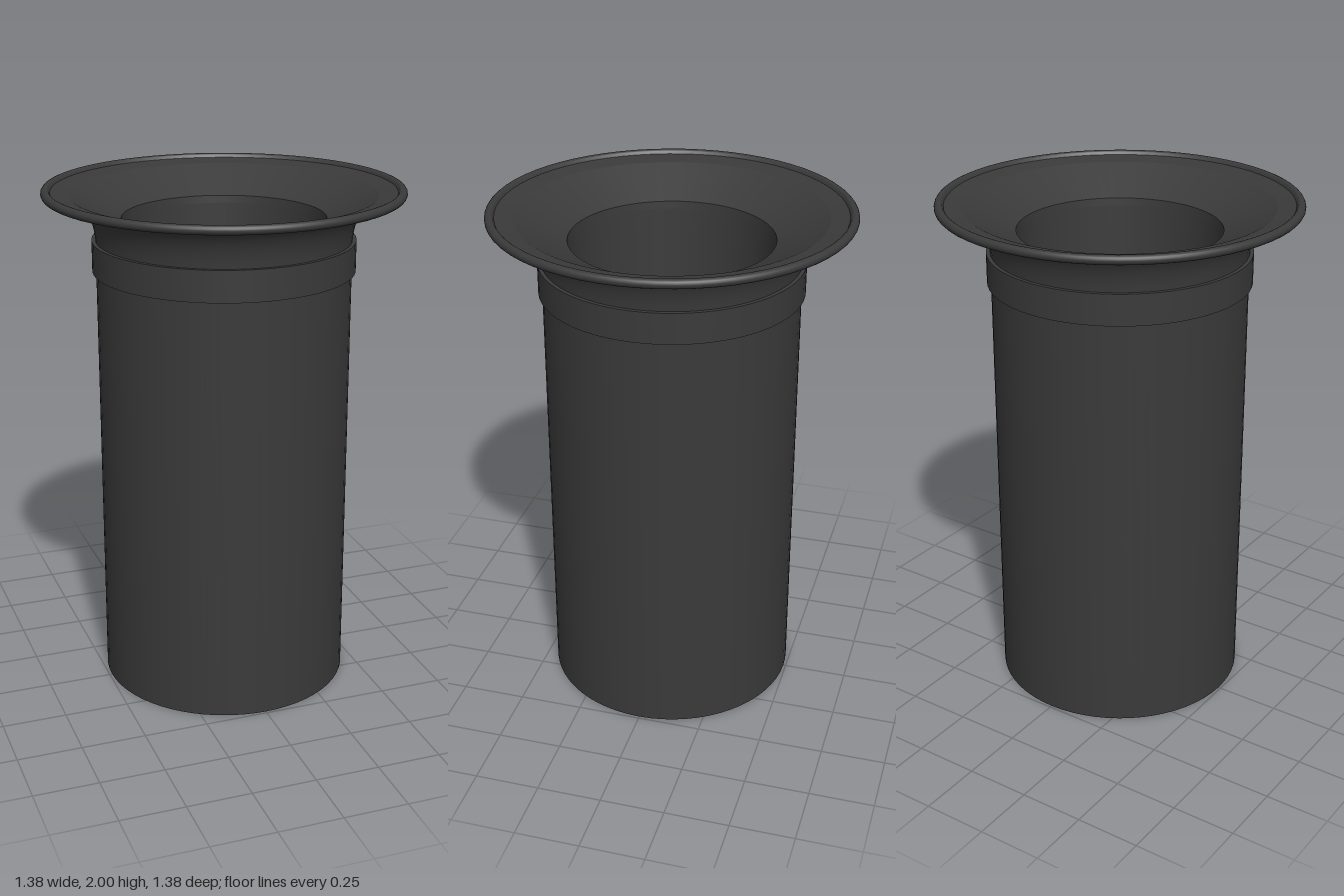
import * as THREE from 'three';

const SEGMENTS = 64;
const material = new THREE.MeshStandardMaterial({ color: 0x3a3a3a, side: THREE.DoubleSide });

export function createModel() {
  const group = new THREE.Group();

  // Revolves [radius, height] points; outer profiles run upward, inner ones downward.
  function revolve(name, points) {
    const profile = points.map(([r, y]) => new THREE.Vector2(r, y));
    const mesh = new THREE.Mesh(new THREE.LatheGeometry(profile, SEGMENTS), material);
    mesh.name = name;
    group.add(mesh);
  }

  // Straight tube and its closed base
  revolve('tubeBase', [[0, 0], [0.49, 0]]);
  revolve('tubeWall', [[0.49, 0], [0.49, 1.8]]);

  // Raised collar below the flare
  revolve('collarUnderside', [[0.49, 1.68], [0.505, 1.68]]);
  revolve('collarWall', [[0.505, 1.68], [0.505, 1.8]]);
  revolve('collarTop', [[0.505, 1.8], [0.49, 1.8]]);

  // Flared mouth curving out to the flange
  const flare = new THREE.CubicBezierCurve(
    new THREE.Vector2(0.49, 1.8), new THREE.Vector2(0.495, 1.9),
    new THREE.Vector2(0.54, 1.965), new THREE.Vector2(0.61, 1.965));
  revolve('flareOutside', [...flare.getPoints(14).map((p) => [p.x, p.y]), [0.672, 1.965]]);

  // Rounded bead around the flange edge
  const bead = [];
  for (let i = 0; i <= 12; i++) {
    const a = -Math.PI / 2 + (i / 12) * Math.PI * 1.25;
    bead.push([0.6725 + 0.0175 * Math.cos(a), 1.9825 + 0.0175 * Math.sin(a)]);
  }
  bead.push([0.655, 1.985]);
  revolve('rimBead', bead);

  // Flat land, dished funnel and short throat
  revolve('flangeTop', [[0.655, 1.985], [0.585, 1.974]]);
  revolve('funnel', [[0.585, 1.974], [0.39, 1.88]]);
  revolve('throat', [[0.39, 1.88], [0.388, 1.85]]);

  // Deep tapering bore with a flat floor
  revolve('bore', [[0.388, 1.85], [0.3, 0.06]]);
  revolve('boreFloor', [[0.3, 0.06], [0, 0.06]]);

  return group;
}
